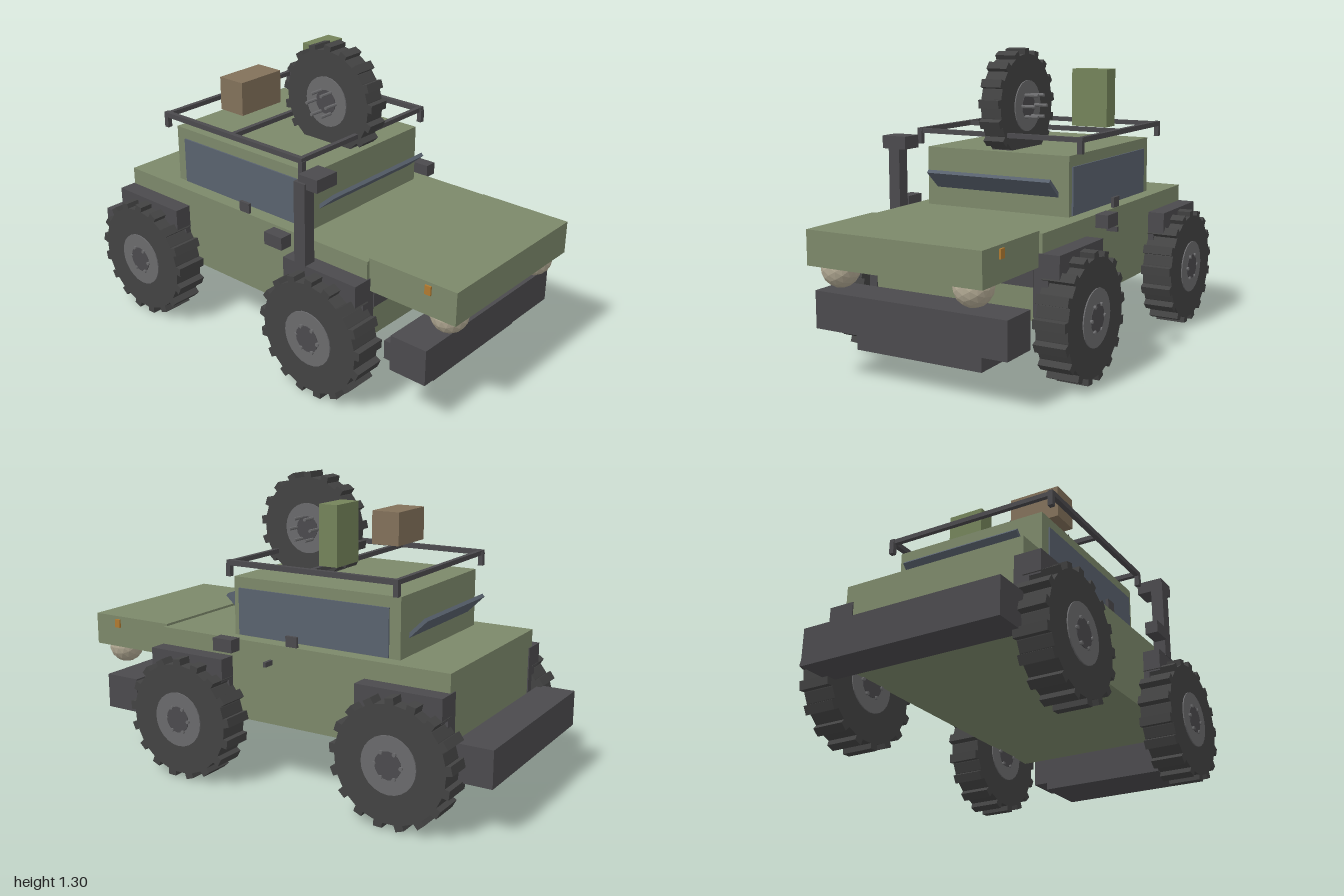
import * as THREE from 'three';

const mat = (color) => new THREE.MeshStandardMaterial({ color, flatShading: true });
const green = mat(0x7c886a), dark = mat(0x4b4a4d), rubber = mat(0x434343), steel = mat(0x6a6a6c);
const glass = mat(0x59626e), black = mat(0x3a3b3e), canGreen = mat(0x74835a), brown = mat(0x82715a);
const lampMat = mat(0xb3aa94), orange = mat(0xb07a30);

// Box given by its extents on each axis
function box(parent, name, material, x0, x1, y0, y1, z0, z1) {
  const m = new THREE.Mesh(new THREE.BoxGeometry(x1 - x0, y1 - y0, z1 - z0), material);
  m.position.set((x0 + x1) / 2, (y0 + y1) / 2, (z0 + z1) / 2);
  m.name = name;
  parent.add(m);
  return m;
}

// The same box on both sides
function pair(parent, name, material, x0, x1, ...rest) {
  box(parent, name + 'Left', material, x0, x1, ...rest);
  box(parent, name + 'Right', material, -x1, -x0, ...rest);
}

// Cylinder lying along x
function disc(parent, name, material, radius, width, sides) {
  const m = new THREE.Mesh(new THREE.CylinderGeometry(radius, radius, width, sides), material);
  m.rotation.z = Math.PI / 2;
  m.name = name;
  parent.add(m);
  return m;
}

// Wheel with tread lugs, rim, hub and bolts on both faces
function wheel(name, width, rimWidth, boltWidth) {
  const g = new THREE.Group();
  g.name = name;
  disc(g, 'tire', rubber, 0.242, width, 34);
  disc(g, 'rim', steel, 0.12, rimWidth, 24);
  disc(g, 'hub', dark, 0.058, rimWidth + 0.006, 16);
  const lugs = 17;
  for (let i = 0; i < lugs; i++) {
    const a = (i / lugs) * Math.PI * 2;
    const lug = new THREE.Mesh(new THREE.BoxGeometry(width, 0.05, 0.038), rubber);
    lug.name = 'treadLug';
    lug.position.set(0, Math.cos(a) * 0.241, Math.sin(a) * 0.241);
    lug.rotation.x = a + 0.15;
    g.add(lug);
  }
  for (let i = 0; i < 6; i++) {
    const a = (i / 6) * Math.PI * 2;
    disc(g, 'bolt', steel, 0.008, boltWidth, 8)
      .position.set(0, Math.sin(a) * 0.058, Math.cos(a) * 0.058);
  }
  return g;
}

// Tilted window panel leaning outwards from the cabin
function visor(parent, name, halfWidth, zIn, zOut) {
  const dz = zOut - zIn, dy = 0.078;
  const m = new THREE.Mesh(new THREE.BoxGeometry(halfWidth * 2, Math.hypot(dz, dy), 0.016), glass);
  m.position.set(0, 0.74, (zIn + zOut) / 2);
  m.rotation.x = Math.atan2(dz, dy);
  m.name = name;
  parent.add(m);
}

export function createModel() {
  const car = new THREE.Group();
  car.name = 'offRoadCar';

  // Body, hood and cabin
  box(car, 'body', green, -0.41, 0.41, 0.275, 0.622, -0.805, 0.59);
  box(car, 'hood', green, -0.395, 0.395, 0.49, 0.632, 0.585, 1);
  box(car, 'cabin', green, -0.345, 0.345, 0.62, 0.875, -0.555, 0.245);
  box(car, 'grille', dark, -0.375, 0.375, 0.41, 0.49, 0.57, 0.6);

  // Windows
  pair(car, 'sideWindow', glass, 0.34, 0.352, 0.625, 0.828, -0.505, 0.22);
  visor(car, 'windshield', 0.297, 0.232, 0.322);
  visor(car, 'rearWindow', 0.273, -0.548, -0.628);

  // Bumpers
  box(car, 'frontBumper', dark, -0.44, 0.44, 0.21, 0.365, 0.735, 0.905);
  box(car, 'skidPlate', dark, -0.29, 0.29, 0.127, 0.212, 0.59, 0.84);
  box(car, 'rearBumper', dark, -0.437, 0.437, 0.21, 0.365, -1, -0.835);

  // Wheels and fenders
  for (const [end, z] of [['front', 0.405], ['rear', -0.62]]) {
    pair(car, end + 'Fender', dark, 0.373, 0.487, 0.445, 0.545, z - 0.19, z + 0.19);
    pair(car, end + 'FenderLiner', dark, 0.373, 0.437, 0.29, 0.45, z - 0.19, z + 0.19);
    for (const s of [-1, 1]) {
      const w = wheel(end + (s > 0 ? 'LeftWheel' : 'RightWheel'), 0.14, 0.15, 0.17);
      w.position.set(s * 0.48, 0.267, z);
      car.add(w);
    }
  }

  // Headlights under the hood
  for (const s of [-1, 1]) {
    const lamp = new THREE.Mesh(new THREE.IcosahedronGeometry(0.078, 2), lampMat);
    lamp.position.set(s * 0.303, 0.474, 0.91);
    lamp.name = 'headlight';
    car.add(lamp);
  }

  // Side fittings
  pair(car, 'turnSignal', orange, 0.39, 0.403, 0.58, 0.618, 0.858, 0.886);
  pair(car, 'windowLatch', dark, 0.395, 0.408, 0.62, 0.667, -0.11, -0.055);
  pair(car, 'mirror', dark, 0.46, 0.517, 0.59, 0.645, 0.14, 0.235);
  box(car, 'doorHandle', dark, 0.4, 0.46, 0.535, 0.556, 0.008, 0.022);

  // Snorkel
  box(car, 'snorkelPipe', dark, -0.49, -0.435, 0.54, 0.9, 0.28, 0.338);
  box(car, 'snorkelHead', dark, -0.48, -0.363, 0.875, 0.93, 0.295, 0.393);

  // Roof rack
  const rack = new THREE.Group();
  rack.name = 'roofRack';
  car.add(rack);
  pair(rack, 'sideRail', dark, 0.38, 0.402, 0.932, 0.954, -0.57, 0.243);
  for (const z of [-0.556, -0.165, 0.228]) {
    box(rack, 'crossBar', dark, -0.4, 0.4, 0.932, 0.952, z - 0.01, z + 0.01);
  }
  for (const z of [-0.56, 0.235]) {
    pair(rack, 'rackFoot', dark, 0.38, 0.402, 0.885, 0.94, z - 0.011, z + 0.011);
  }

  // Rack cargo
  box(car, 'fuelCan', canGreen, 0.148, 0.318, 0.955, 1.207, -0.247, -0.163);
  box(car, 'crate', brown, -0.29, -0.057, 0.995, 1.14, -0.325, -0.195);
  const spare = wheel('spareWheel', 0.096, 0.106, 0.235);
  spare.position.set(0, 1.056, 0.065);
  spare.scale.set(1, 0.915, 0.915);
  car.add(spare);

  return car;
}
